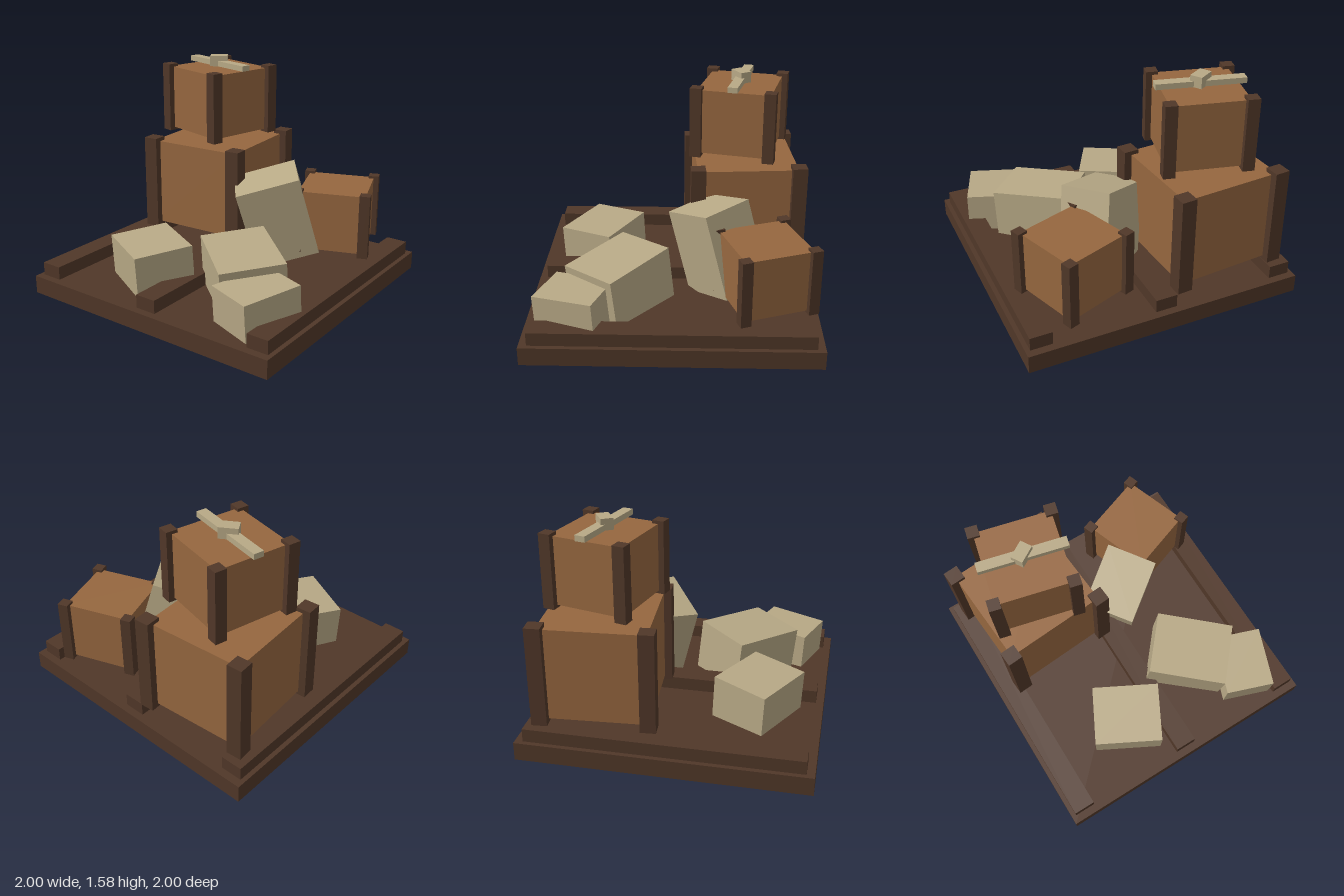
import * as THREE from 'three';

const mat = (color) => new THREE.MeshStandardMaterial({ color, flatShading: true });

export function createModel() {
  const model = new THREE.Group();
  const darkWood = mat(0x503728);
  const wood = mat(0x96673f);
  const cloth = mat(0xb8a986);

  const box = (parent, name, material, [w, h, d], [x, y, z], ry = 0) => {
    const mesh = new THREE.Mesh(new THREE.BoxGeometry(w, h, d), material);
    mesh.name = name;
    mesh.position.set(x, y, z);
    mesh.rotation.y = ry;
    parent.add(mesh);
    return mesh;
  };

  // Pallet: slab with three long rails
  const pallet = new THREE.Group();
  pallet.name = 'pallet';
  model.add(pallet);
  box(pallet, 'palletBase', darkWood, [2, 0.13, 2], [0, 0.065, 0]);
  for (const x of [-0.89, 0, 0.89]) {
    box(pallet, 'palletRail', darkWood, [0.155, 0.095, 1.89], [x, 0.177, 0]);
  }

  // Crate: body with a post centred on each upright edge, bottom is the body's underside
  const crate = (name, size, bottom, top, post, overhang, x, z, ry) => {
    const group = new THREE.Group();
    group.name = name;
    group.position.set(x, (bottom + top) / 2, z);
    group.rotation.y = ry;
    model.add(group);
    const h = top - bottom;
    box(group, 'crateBody', wood, [size, h, size], [0, 0, 0]);
    for (const sx of [-1, 1]) {
      for (const sz of [-1, 1]) {
        box(group, 'cratePost', darkWood, [post, h + 2 * overhang, post],
          [sx * size / 2, 0, sz * size / 2]);
      }
    }
  };
  crate('largeCrate', 0.735, 0.263, 0.922, 0.108, 0.029, -0.469, -0.504, 0.073);
  crate('topCrate', 0.535, 1.01, 1.485, 0.083, 0.022, -0.445, -0.47, -0.24);
  crate('sideCrate', 0.489, 0.253, 0.69, 0.075, 0.018, 0.532, -0.617, 0.346);

  // Bundles: tilted blocks placed by the centre of their top face
  const bundle = (name, [w, h, d], [x, y, z], [rx, ry, rz]) => {
    const mesh = box(model, name, cloth, [w, h, d], [x, y, z]);
    mesh.geometry.translate(0, -h / 2, 0);
    mesh.rotation.set(rx, ry, rz, 'YXZ');
  };
  bundle('leftBundle', [0.487, 0.32, 0.42], [-0.282, 0.433, 0.555], [0.055, -0.49, 0]);
  bundle('middleBundle', [0.57, 0.39, 0.453], [0.388, 0.478, 0.395], [0.066, -0.71, -0.079]);
  bundle('frontBundle', [0.356, 0.3, 0.435], [0.685, 0.398, 0.665], [0.058, -0.344, 0]);
  bundle('leaningBundle', [0.467, 0.61, 0.373], [0.15, 0.765, -0.233], [0.107, 0.65, 0.282]);

  // Strap and knot on the top crate
  box(model, 'strap', cloth, [0.617, 0.04, 0.072], [-0.445, 1.515, -0.47], -0.24);
  box(model, 'knot', cloth, [0.13, 0.08, 0.086], [-0.447, 1.535, -0.47], 0.55);

  return model;
}
